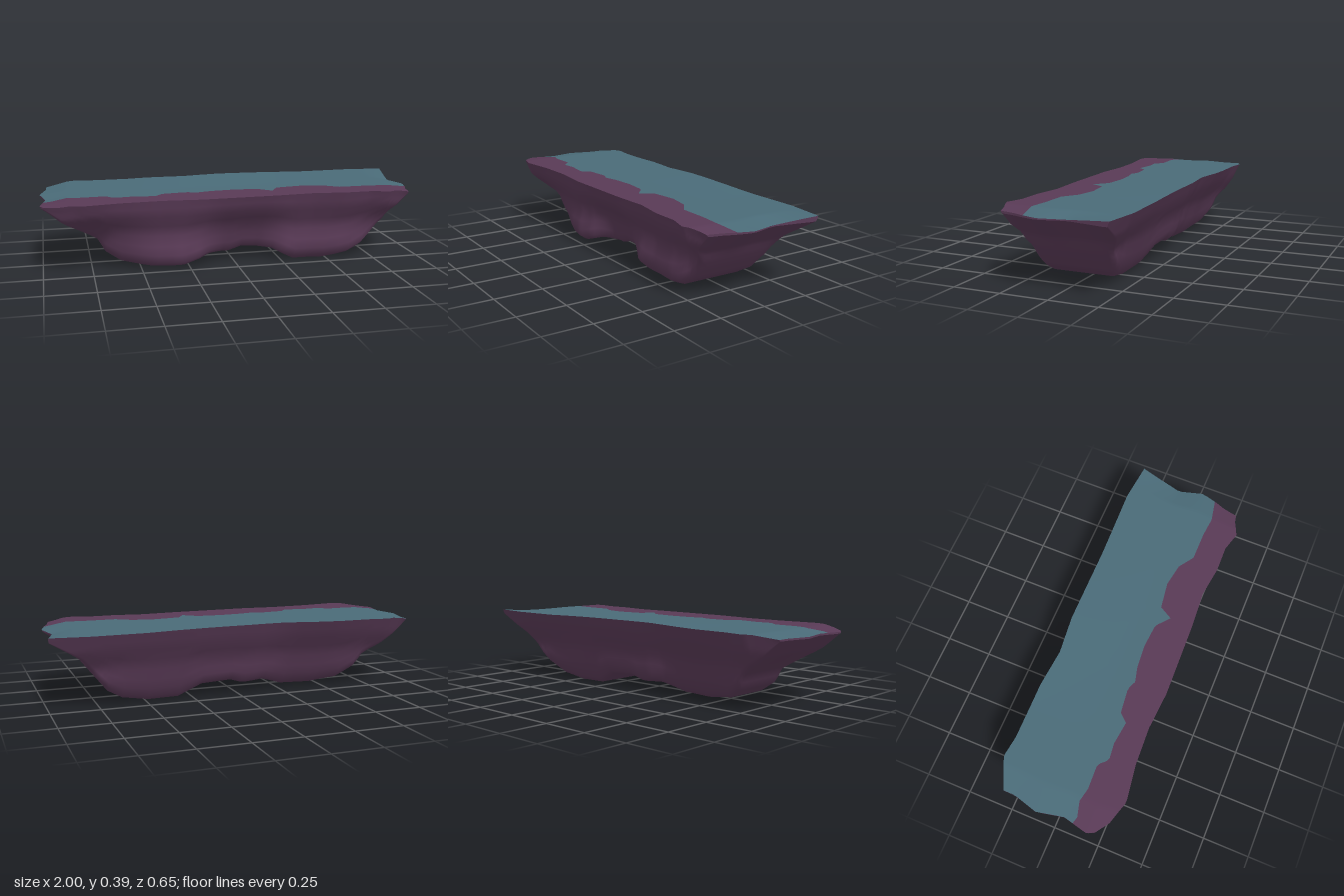
import * as THREE from 'three';

// Piecewise-linear lookup through [position, value] pairs
function curve(points) {
  return (t) => {
    if (t <= points[0][0]) return points[0][1];
    for (let i = 1; i < points.length; i++) {
      const [x0, y0] = points[i - 1], [x1, y1] = points[i];
      if (t <= x1) return y0 + (y1 - y0) * (t - x0) / (x1 - x0);
    }
    return points[points.length - 1][1];
  };
}

// Rim outline, seen from above
const frontRim = curve([[-1, 0.24], [-0.95, 0.285], [-0.79, 0.325], [-0.6, 0.297], [-0.4, 0.288], [-0.2, 0.303],
  [0.2, 0.292], [0.4, 0.278], [0.56, 0.3], [0.7, 0.297], [0.8, 0.325], [0.93, 0.29], [1, 0.28]]);
const backRim = curve([[-1, -0.26], [-0.96, -0.275], [-0.81, -0.33], [-0.7, -0.315], [-0.4, -0.315], [-0.2, -0.295],
  [0, -0.315], [0.4, -0.315], [0.8, -0.327], [1, -0.305]]);
const leftEnd = curve([[-0.27, -0.035], [-0.2, -0.035], [-0.07, 0], [0.07, -0.03], [0.2, 0], [0.28, -0.04]]);
const rightEnd = curve([[-0.3, 0], [-0.24, -0.015], [-0.07, -0.05], [0.06, -0.015], [0.15, -0.04], [0.2, -0.06], [0.29, -0.08]]);

// Underside height along the length, with two hanging lobes
const underside = curve([[-1, 0.358], [-0.9, 0.28], [-0.8, 0.22], [-0.72, 0.165], [-0.68, 0.095], [-0.6, 0.04],
  [-0.45, 0.018], [-0.28, 0.022], [-0.15, 0.065], [-0.03, 0.057], [0.04, 0.08], [0.2, 0.07], [0.32, 0.006],
  [0.48, 0.003], [0.62, 0.028], [0.7, 0.075], [0.76, 0.15], [0.83, 0.245], [0.92, 0.305], [1, 0.358]]);

// Side profiles: share of the rim width kept at each height
const frontSide = curve([[0, 0.62], [0.06, 0.75], [0.12, 0.74], [0.18, 0.69], [0.25, 0.78], [0.3, 0.93], [0.35, 0.96], [0.385, 1]]);
const backSide = curve([[0, 0.44], [0.06, 0.54], [0.14, 0.65], [0.2, 0.67], [0.3, 0.88], [0.385, 1]]);
const lobeShift = curve([[-0.75, 0], [-0.5, 0.03], [-0.3, 0.035], [-0.1, 0], [0.8, 0]]);
// Front of the lower part draws in between the lobes and near the ends
const pinch = curve([[-1, 1], [-0.85, 0.9], [-0.7, 0.55], [-0.6, 0.55], [-0.42, 0.9], [-0.32, 1], [-0.2, 0.95],
  [-0.06, 0.6], [0.12, 0.6], [0.27, 1], [0.55, 1], [0.7, 0.9], [1, 1]]);

// Wavy edge where the top covering ends
const coverEdge = curve([[-1, 0.12], [-0.96, 0.13], [-0.88, 0.11], [-0.8, 0.125], [-0.67, 0.12], [-0.63, 0.165],
  [-0.54, 0.155], [-0.42, 0.17], [-0.38, 0.125], [-0.25, 0.11], [-0.2, 0.13], [-0.12, 0.11], [0, 0.1],
  [0.13, 0.11], [0.2, 0.17], [0.24, 0.1], [0.38, 0.08], [0.5, 0.1], [0.58, 0.155], [0.73, 0.155],
  [0.85, 0.165], [1, 0.14]]);

// Nearly flat top, raised a little at the back and dipping at both ends
const rightDip = curve([[-0.3, 0], [-0.07, 0.022], [0.15, 0.017], [0.3, 0.015]]);
function topHeight(x, z) {
  const rise = 0.008 * Math.max(0, -z / 0.3) * Math.max(0, Math.cos(x * 3));
  const tip = Math.max(0, (Math.abs(x) - 0.86) / 0.14);
  return 0.385 + rise - tip * (x < 0 ? 0.018 : rightDip(z));
}

// Ragged ends: pull points inward close to both tips
function raggedX(x, z) {
  const k = Math.max(0, (Math.abs(x) - 0.8) / 0.2);
  return x + k * (x < 0 ? -leftEnd(z) : rightEnd(z));
}

// Surface from rows of points
function loft(rows) {
  const n = rows[0].length, index = [];
  for (let i = 0; i < rows.length - 1; i++) {
    for (let j = 0; j < n - 1; j++) {
      const a = i * n + j, b = a + n;
      index.push(a, a + 1, b, b, a + 1, b + 1);
    }
  }
  const geometry = new THREE.BufferGeometry();
  geometry.setAttribute('position', new THREE.Float32BufferAttribute(rows.flat(2), 3));
  geometry.setIndex(index);
  geometry.computeVertexNormals();
  return geometry;
}

const stations = Array.from({ length: 101 }, (_, i) => (i - 50) / 50);

// One cross-section of the rock, from front rim under to back rim
function section(x) {
  const low = underside(x), front = frontRim(x), back = backRim(x);
  const steps = [0, 0.12, 0.25, 0.4, 0.55, 0.7, 0.83, 0.94];
  const place = (f, share, isFront) => {
    const top = topHeight(x, isFront ? front : back);
    const y = top + (low - top) * f;
    // The rim itself always keeps its full width
    const height = 0.385 + (low - 0.385) * f;
    const width = isFront ? front * frontSide(height) * (1 - (1 - pinch(x)) * f * f) : back * backSide(height);
    const z = width * share + lobeShift(x) * f;
    return [raggedX(x, z), y, z];
  };
  return [
    ...steps.map((f) => place(f, 1, true)),
    ...[0.9, 0.75, 0.6, 0.45, 0.3, 0.15].map((s) => place(1, s, true)),
    ...[0, 0.15, 0.3, 0.45, 0.6, 0.75, 0.9].map((s) => place(1, s, false)),
    ...steps.slice().reverse().map((f) => place(f, 1, false)),
  ];
}

// Strip of the top between two edges, back to front
function topStrip(backEdge, frontEdge) {
  return loft(stations.map((x) => Array.from({ length: 17 }, (_, j) => {
    const z = backEdge(x) + (frontEdge(x) - backEdge(x)) * j / 16;
    return [raggedX(x, z), topHeight(x, z), z];
  })));
}

export function createModel() {
  const rock = new THREE.MeshStandardMaterial({ color: 0x593a56 });
  rock.name = 'purple rock';
  const cover = new THREE.MeshStandardMaterial({ color: 0x4a6b78 });
  cover.name = 'teal cover';

  const group = new THREE.Group();
  group.name = 'rockPlatform';
  const add = (name, geometry, material) => {
    const mesh = new THREE.Mesh(geometry, material);
    mesh.name = name;
    group.add(mesh);
  };

  add('rockBody', loft(stations.map(section)), rock);
  // Top surface: bare front ledge and covered back
  add('frontLedge', topStrip(coverEdge, frontRim), rock);
  add('topCover', topStrip(backRim, coverEdge), cover);

  // Thin lip closing each end
  for (const [name, x] of [['rightLip', -1], ['leftLip', 1]]) {
    const lower = section(x);
    const upper = lower.map(([px, , pz]) => [px, topHeight(x, pz), pz]);
    add(name, loft(x < 0 ? [upper, lower] : [lower, upper]), rock);
  }
  return group;
}
